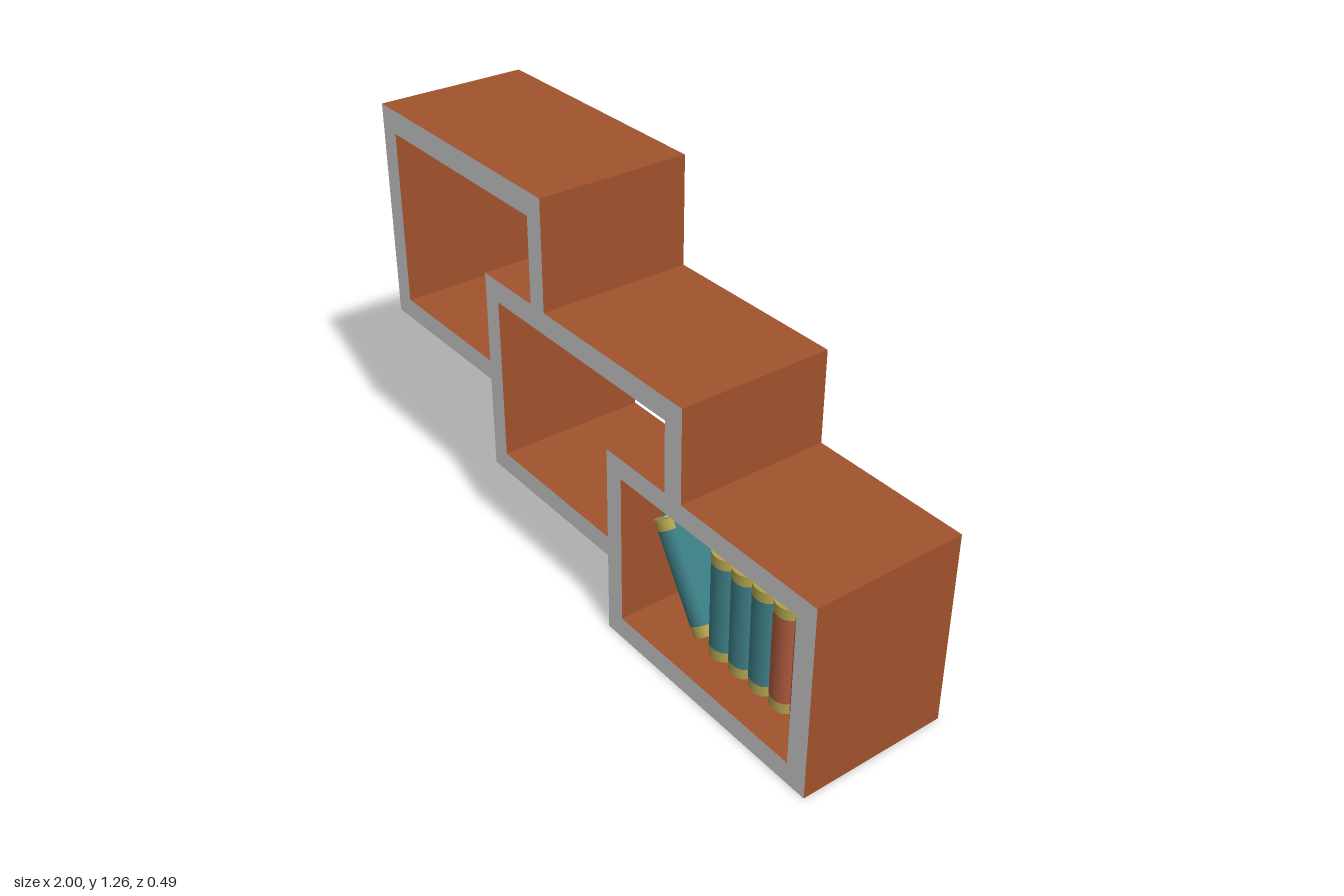
import * as THREE from 'three';

const mat = (color, extra = {}) => new THREE.MeshStandardMaterial({ color, ...extra });
const edgeGrey = mat(0xcccccc);
const wood = mat(0xa0522d);
const teal = mat(0x3b7b82);
const red = mat(0xab583d);
const gold = mat(0xb0a04e);
const paper = mat(0xe6e2c4);

const DEPTH = 0.49;
const points = (list) => list.map(([x, y]) => new THREE.Vector2(x, y));

function addMesh(parent, name, geometry, material, x = 0, y = 0, z = 0) {
  const mesh = new THREE.Mesh(geometry, material);
  mesh.name = name;
  mesh.position.set(x, y, z);
  parent.add(mesh);
  return mesh;
}

// Three interlocking open boxes: grey edges on front and back, wooden planks
function makeShelf() {
  const shape = new THREE.Shape(points([
    [-1, 0.56], [-0.45, 0.56], [-0.45, 0.26], [0.145, 0.26], [0.145, 0], [1, 0],
    [1, 0.625], [0.475, 0.625], [0.475, 0.92], [-0.145, 0.92], [-0.145, 1.265], [-1, 1.265],
  ]));
  const openings = [
    [[-0.93, 0.625], [-0.45, 0.625], [-0.45, 0.92], [-0.21, 0.92], [-0.21, 1.19], [-0.93, 1.19]],
    [[-0.385, 0.325], [0.145, 0.325], [0.145, 0.625], [0.405, 0.625], [0.405, 0.85], [-0.385, 0.85]],
    [[0.21, 0.07], [0.93, 0.07], [0.93, 0.56], [0.21, 0.56]],
  ];
  for (const o of openings) shape.holes.push(new THREE.Path(points(o)));
  const geometry = new THREE.ExtrudeGeometry(shape, { depth: DEPTH, bevelEnabled: false });
  geometry.translate(0, 0, -DEPTH / 2);
  const shelf = new THREE.Mesh(geometry, [edgeGrey, wood]);
  shelf.name = 'shelfFrame';
  return shelf;
}

// Book centred on its own height, rounded spine towards +z
function makeBook(cover) {
  const book = new THREE.Group();
  const w = 0.081, h = 0.355, back = -0.19, front = 0.115, board = 0.009, band = 0.034;
  const length = front - back, mid = (front + back) / 2;

  for (const s of [-1, 1]) {
    addMesh(book, 'coverBoard', new THREE.BoxGeometry(board, h, length), cover, s * (w - board) / 2, 0, mid);
  }

  // Page block with three bundles showing at the back edge
  const inner = w - 2 * board;
  addMesh(book, 'pageBlock', new THREE.BoxGeometry(inner, h - 0.008, length - 0.02), paper, 0, 0, mid + 0.01);
  for (let i = -1; i <= 1; i++) {
    addMesh(book, 'pageBundle', new THREE.BoxGeometry(inner / 3 - 0.005, h - 0.008, 0.018), paper,
      i * inner / 3, 0, back + 0.013);
  }

  // Half-round spine with gold bands at both ends
  const halfRound = (height) =>
    new THREE.CylinderGeometry(w / 2, w / 2, height, 24, 1, false, -Math.PI / 2, Math.PI).scale(1, 1, 0.7);
  addMesh(book, 'spine', halfRound(h - 2 * band), cover, 0, 0, front);
  for (const s of [-1, 1]) {
    addMesh(book, 'spineBand', halfRound(band), gold, 0, s * (h - band) / 2, front);
  }
  return book;
}

export function createModel() {
  const model = new THREE.Group();
  model.name = 'steppedShelf';
  model.add(makeShelf());

  // Row of upright books
  [teal, teal, teal, red, red].forEach((cover, i) => {
    const book = makeBook(cover);
    book.name = 'uprightBook';
    book.position.set(0.5 + i * 0.0855, 0.2475, 0);
    model.add(book);
  });

  // Book leaning away from the row
  const leaning = makeBook(teal);
  leaning.name = 'leaningBook';
  leaning.position.set(0.334, 0.243, 0);
  leaning.rotation.z = THREE.MathUtils.degToRad(32);
  model.add(leaning);

  return model;
}
